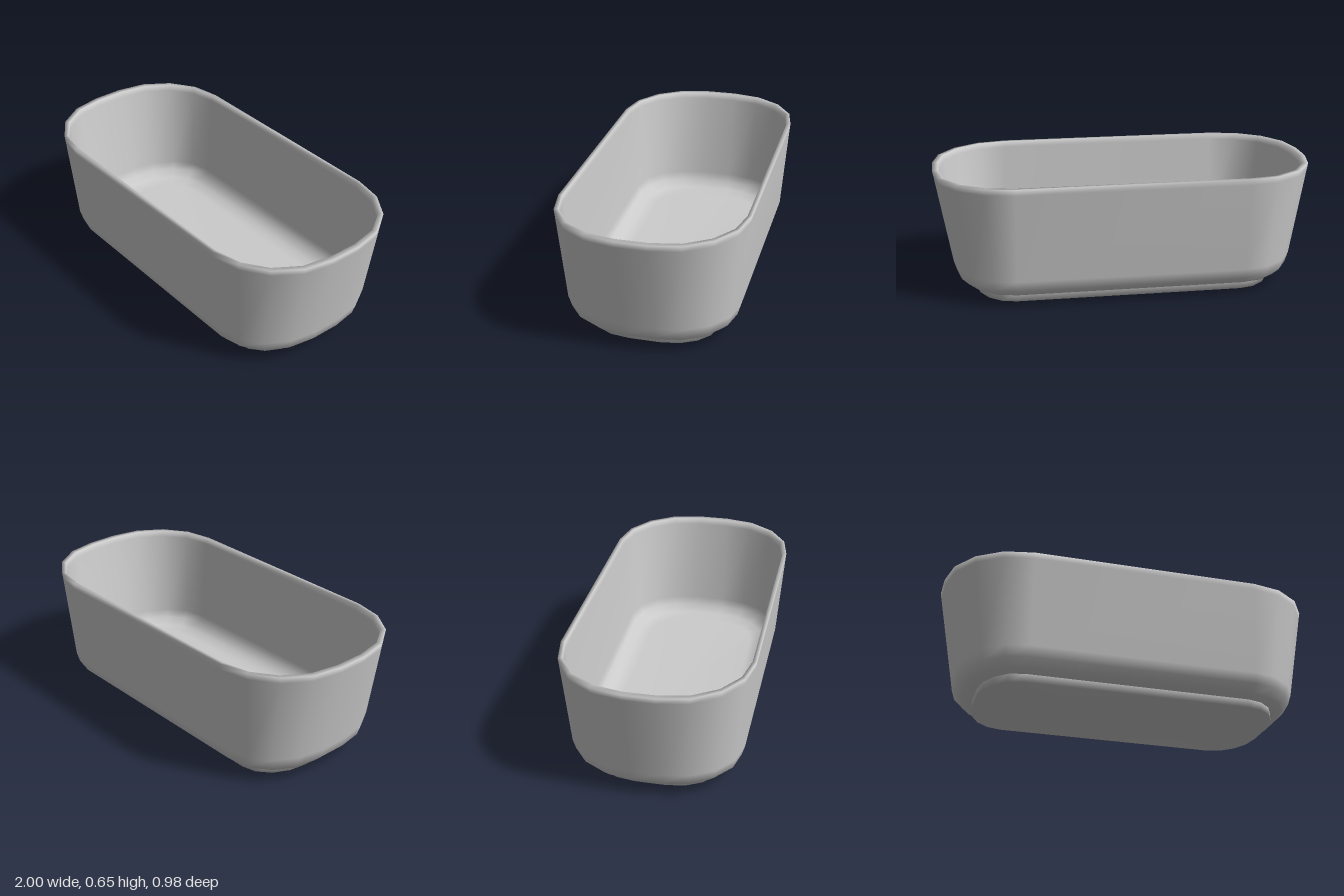
import * as THREE from 'three';

const CX = 0.595, CZ = 0.08; // corner centres shared by every level
const STEPS = 4; // segments per rounded corner

// Rounded-rectangle ring of half sizes hx, hz at height y
function ring(hx, hz, y) {
  const points = [];
  const cx = Math.min(CX, hx), cz = Math.min(CZ, hz);
  for (let q = 0; q < 4; q++) {
    const sx = q === 0 || q === 3 ? 1 : -1, sz = q < 2 ? 1 : -1;
    for (let i = 0; i <= STEPS; i++) {
      const a = (q + i / STEPS) * Math.PI / 2;
      points.push([sx * cx + (hx - cx) * Math.cos(a), y, sz * cz + (hz - cz) * Math.sin(a)]);
    }
  }
  return points;
}

// Skin a closed surface through consecutive [hx, hz, y] levels
function loft(levels) {
  const rings = levels.map(l => ring(...l));
  const n = rings[0].length, index = [];
  for (let k = 0; k < rings.length - 1; k++) {
    for (let j = 0; j < n; j++) {
      const a = k * n + j, c = k * n + (j + 1) % n;
      index.push(a, a + n, c, c, a + n, c + n);
    }
  }
  const geometry = new THREE.BufferGeometry();
  geometry.setAttribute('position', new THREE.Float32BufferAttribute(rings.flat(2), 3));
  geometry.setIndex(index);
  geometry.computeVertexNormals();
  return geometry;
}

export function createModel() {
  const group = new THREE.Group();
  group.name = 'bathtub';
  const material = new THREE.MeshStandardMaterial({ color: 0xcccccc });
  const add = (name, levels) => {
    const mesh = new THREE.Mesh(loft(levels), material);
    mesh.name = name;
    group.add(mesh);
  };

  // Foot: low plinth with a closed underside
  add('foot', [
    [0, 0, 0],
    [0.795, 0.333, 0],
    [0.795, 0.333, 0.045],
  ]);

  // Basin: outer wall up, over the rim, down the inner wall to the floor
  add('basin', [
    [0.79, 0.32, 0.042],
    [0.855, 0.385, 0.055],
    [0.895, 0.43, 0.095],
    [0.912, 0.446, 0.15],
    [0.994, 0.485, 0.62],
    [1, 0.488, 0.652],
    [0.97, 0.467, 0.652],
    [0.964, 0.464, 0.62],
    [0.885, 0.424, 0.16],
    [0.868, 0.408, 0.115],
    [0.83, 0.365, 0.08],
    [0.76, 0.3, 0.068],
    [0, 0, 0.068],
  ]);
  return group;
}
